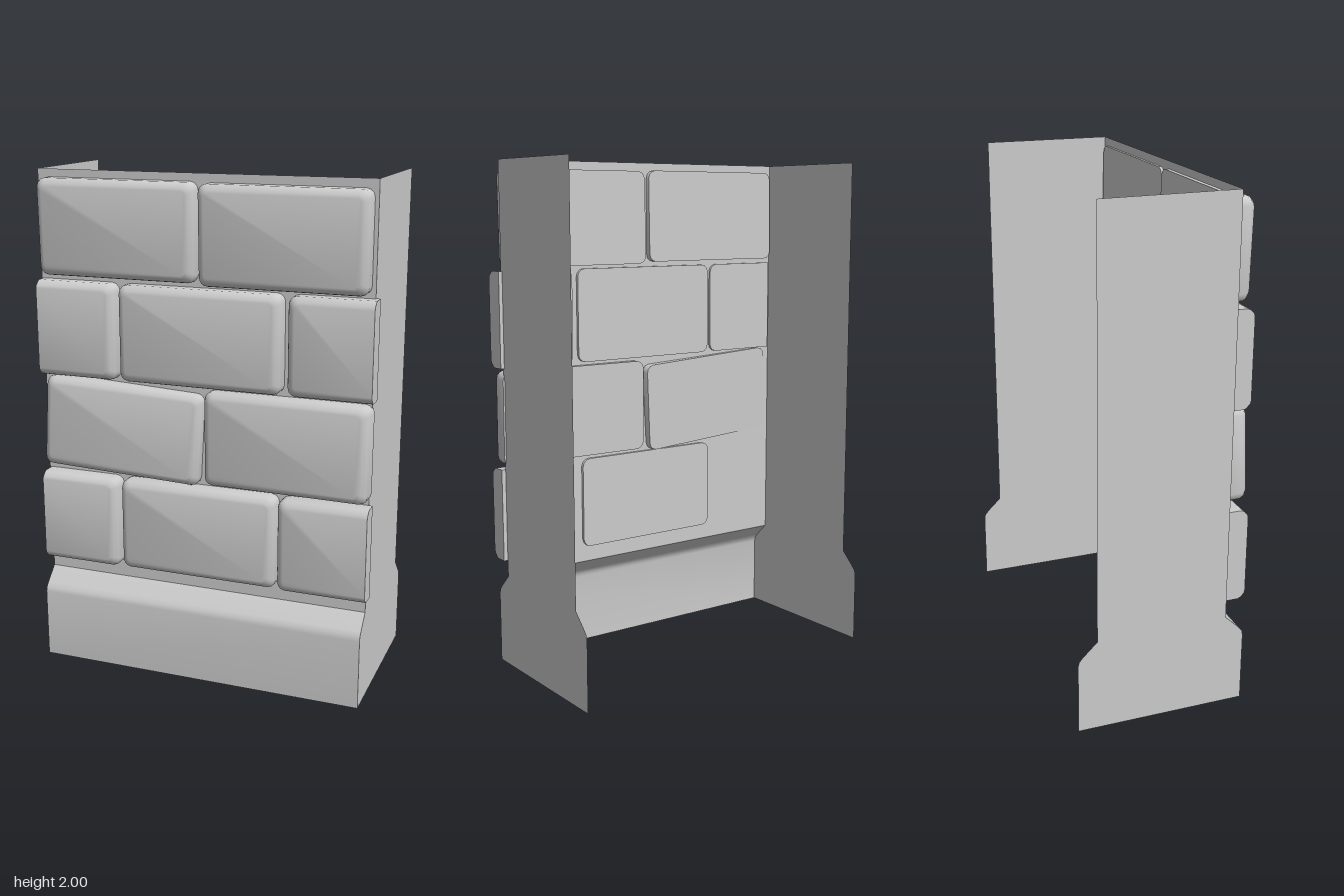
import * as THREE from 'three';
import { toCreasedNormals } from 'three/addons/utils/BufferGeometryUtils.js';

const material = new THREE.MeshStandardMaterial({ color: 0xcccccc, side: THREE.DoubleSide });
const X0 = -0.675, X1 = 0.66;
// Front profile as [z, y], from the top down to the plinth foot
const PROFILE = [[0.255, 2], [0.255, 0.37], [0.312, 0.315], [0.326, 0.298], [0.33, 0.28], [0.33, 0]];

function addMesh(group, name, geometry) {
  const mesh = new THREE.Mesh(geometry, material);
  mesh.name = name;
  group.add(mesh);
  return mesh;
}

// Rectangle outline with rounded corners; a cut end (-1 left, 1 right) stays square
function outline(w, h, inset, radius, cut) {
  const points = [];
  const corners = [[1, -1, -90], [1, 1, 0], [-1, 1, 90], [-1, -1, 180]];
  for (const [sx, sy, start] of corners) {
    const isCut = sx === cut;
    const x = sx * (w / 2 - (isCut ? 0 : inset)), y = sy * (h / 2 - inset);
    if (isCut) { points.push([x, y]); continue; }
    for (let i = 0; i <= 3; i++) {
      const a = THREE.MathUtils.degToRad(start + i * 30);
      points.push([x - sx * radius + radius * Math.cos(a), y - sy * radius + radius * Math.sin(a)]);
    }
  }
  return points;
}

// Block with a flat back at z = 0 and a softened front edge
function brickGeometry(w, h, d, cut) {
  const rings = [[0, 0], [d - 0.03, 0], [d - 0.019, 0.004], [d - 0.004, 0.019], [d, 0.03]];
  const positions = [], index = [];
  let n = 0;
  for (const [z, inset] of rings) {
    const loop = outline(w, h, inset, 0.032 - inset * 0.5, cut);
    n = loop.length;
    for (const [x, y] of loop) positions.push(x, y, z);
  }
  for (let r = 0; r < rings.length - 1; r++) {
    for (let i = 0; i < n; i++) {
      const a = r * n + i, b = r * n + (i + 1) % n;
      index.push(a, b, b + n, a, b + n, a + n);
    }
  }
  // Back and front caps
  const top = (rings.length - 1) * n;
  for (let i = 1; i < n - 1; i++) {
    index.push(0, i + 1, i);
    index.push(top, top + i, top + i + 1);
  }
  const geometry = new THREE.BufferGeometry();
  geometry.setAttribute('position', new THREE.Float32BufferAttribute(positions, 3));
  geometry.setIndex(index);
  return toCreasedNormals(geometry, 0.7);
}

export function createModel() {
  const model = new THREE.Group();
  model.name = 'brickWallSection';

  // Front sheet: wall face flowing into the plinth
  const front = new THREE.PlaneGeometry(X1 - X0, 1, 1, PROFILE.length - 1);
  const pos = front.attributes.position;
  for (let i = 0; i < pos.count; i++) {
    const [z, y] = PROFILE[Math.floor(i / 2)];
    pos.setXYZ(i, pos.getX(i) + (X0 + X1) / 2, y, z);
  }
  addMesh(model, 'wallFront', toCreasedNormals(front, 0.5));

  // Side sheets, open at the back, top and bottom
  const half = PROFILE.map(([z, y]) => new THREE.Vector2(z, y));
  const rear = PROFILE.map(([z, y]) => new THREE.Vector2(-z - 0.01, y)).reverse();
  const sideShape = new THREE.Shape([...half, ...rear]);
  for (const [name, x] of [['rightSide', X0], ['leftSide', X1]]) {
    const side = addMesh(model, name, new THREE.ShapeGeometry(sideShape).rotateY(-Math.PI / 2));
    side.position.x = x;
  }

  // Bricks: x range, y range, back z, front z, cut end, tilt [x, y, z]
  const bricks = [
    [-0.66, -0.015, 1.6, 1.97, 0.233, 0.317, 0, [0.02, 0, 0]],
    [0, 0.645, 1.593, 1.967, 0.24, 0.324, 0, [0.02, 0, 0]],
    [-0.665, -0.34, 1.205, 1.58, 0.245, 0.326, -1, [0, 0, 0]],
    [-0.325, 0.325, 1.205, 1.58, 0.243, 0.326, 0, [0, 0, 0]],
    [0.35, 0.675, 1.205, 1.58, 0.245, 0.326, 1, [0, 0, 0]],
    [-0.653, -0.001, 0.823, 1.187, 0.238, 0.322, 0, [-0.02, 0.045, -0.052]],
    [0.02, 0.667, 0.82, 1.192, 0.238, 0.325, 0, [-0.01, -0.025, 0]],
    [-0.665, -0.34, 0.435, 0.805, 0.258, 0.336, -1, [0, 0, 0]],
    [-0.33, 0.312, 0.435, 0.805, 0.243, 0.328, 0, [0, 0, 0]],
    [0.322, 0.675, 0.435, 0.805, 0.258, 0.336, 1, [0, 0, 0]],
  ];
  const group = new THREE.Group();
  group.name = 'bricks';
  model.add(group);
  bricks.forEach(([x0, x1, y0, y1, z0, z1, cut, tilt], i) => {
    const brick = addMesh(group, `brick${i + 1}`, brickGeometry(x1 - x0, y1 - y0, z1 - z0, cut));
    brick.position.set((x0 + x1) / 2, (y0 + y1) / 2, z0);
    brick.rotation.set(...tilt);
  });
  return model;
}
